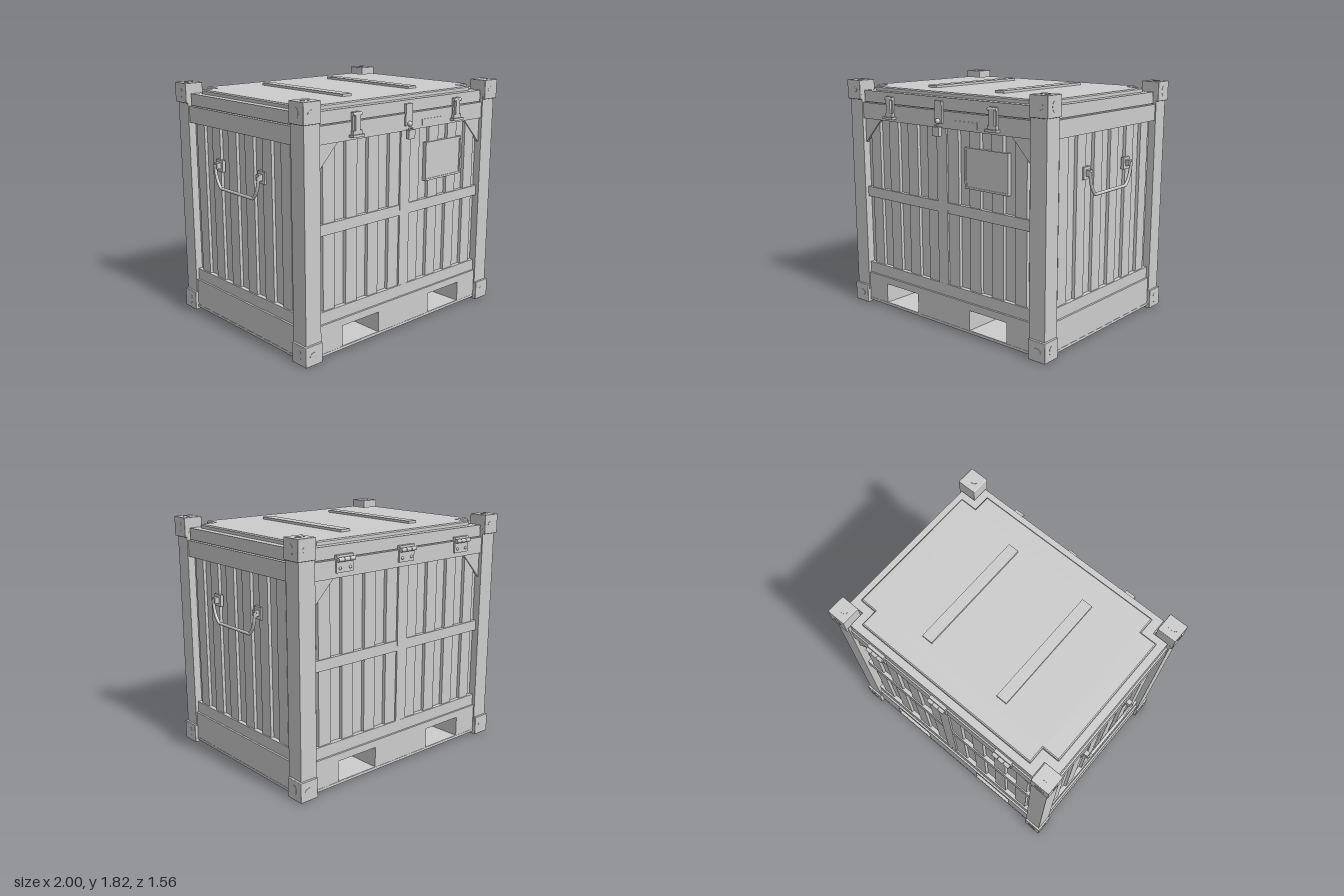
import * as THREE from 'three';
import { RoundedBoxGeometry } from 'three/addons/geometries/RoundedBoxGeometry.js';

const mat = new THREE.MeshStandardMaterial({ color: 0xcccccc, flatShading: true, side: THREE.DoubleSide });
const smooth = new THREE.MeshStandardMaterial({ color: 0xcccccc });

function add(parent, name, geo, x = 0, y = 0, z = 0, material = mat) {
  const m = new THREE.Mesh(geo, material);
  m.name = name;
  m.position.set(x, y, z);
  parent.add(m);
  return m;
}

// Box given by its extents
function box(parent, name, x0, x1, y0, y1, z0, z1) {
  return add(parent, name, new THREE.BoxGeometry(x1 - x0, y1 - y0, z1 - z0),
    (x0 + x1) / 2, (y0 + y1) / 2, (z0 + z1) / 2);
}

const poly = pts => new THREE.Shape(pts.map(p => new THREE.Vector2(...p)));
const rect = (x0, x1, y0, y1) => poly([[x0, y0], [x1, y0], [x1, y1], [x0, y1]]);
const extrude = (shape, depth) => new THREE.ExtrudeGeometry(shape, { depth, bevelEnabled: false });

// Steep-sided corrugated sheet standing between y0 and y1, ridges at z = out
function corrugated(parent, half, out, y0, y1, count) {
  const p = 2 * half / count, depth = 0.022, t = 0.006, line = [[-half, depth]];
  for (let i = 0; i < count; i++) {
    const x = -half + i * p;
    line.push([x + 0.23 * p, depth], [x + 0.25 * p, 0], [x + 0.75 * p, 0], [x + 0.77 * p, depth]);
  }
  line.push([half, depth]);
  const inner = line.map(([x, d]) => [x, d + t]).reverse();
  add(parent, 'corrugatedPanel', extrude(poly([...line, ...inner]), y1 - y0).rotateX(-Math.PI / 2), 0, y0, out);
}

// Rails and sheet shared by all four walls; local +z points outward
function wall(parent, name, angle, half, out, count) {
  const g = new THREE.Group();
  g.name = name;
  g.rotation.y = angle;
  parent.add(g);
  corrugated(g, half, out - 0.027, 0.3, 1.56, count);
  box(g, 'topRail', -half, half, 1.525, 1.65, out - 0.06, out);
  box(g, 'bottomRail', -half, half, 0.25, 0.345, out - 0.06, out - 0.015);
  box(g, 'bottomFlange', -half, half, 0.022, 0.042, out - 0.035, out + 0.002);
  return g;
}

// Rectangle with its four corners notched out, laid flat
function notchedSlab(hx, hz, nx, nz, height, bevel) {
  const q = [[hx, nz], [nx, nz], [nx, hz]];
  const r = q.slice().reverse();
  const pts = [...q, ...r.map(([x, y]) => [-x, y]), ...q.map(([x, y]) => [-x, -y]), ...r.map(([x, y]) => [x, -y])];
  const geo = new THREE.ExtrudeGeometry(poly(pts), {
    depth: height - bevel, bevelEnabled: bevel > 0, bevelThickness: bevel, bevelSize: bevel, bevelOffset: -bevel, bevelSegments: 1 });
  return geo.rotateX(-Math.PI / 2);
}

function addHandle(g, out) {
  for (const s of [-1, 1]) {
    box(g, 'handlePlate', s * 0.255 - 0.04, s * 0.255 + 0.04, 1.2, 1.29, out - 0.04, out - 0.015);
    box(g, 'handleClip', s * 0.255 - 0.018, s * 0.255 + 0.018, 1.225, 1.27, out - 0.02, out + 0.018);
  }
  const path = new THREE.CurvePath();
  const v = (x, y) => new THREE.Vector3(x, y, out + 0.016);
  path.add(new THREE.QuadraticBezierCurve3(v(-0.265, 1.26), v(-0.26, 1.14), v(-0.195, 1.087)));
  path.add(new THREE.LineCurve3(v(-0.195, 1.087), v(0.195, 1.087)));
  path.add(new THREE.QuadraticBezierCurve3(v(0.195, 1.087), v(0.26, 1.14), v(0.265, 1.26)));
  add(g, 'handleBar', new THREE.TubeGeometry(path, 60, 0.012, 10), 0, 0, 0, smooth);
}

function addLatch(g, x) {
  box(g, 'latchBase', x - 0.035, x + 0.035, 1.58, 1.715, 0.735, 0.75);
  box(g, 'latchLever', x - 0.022, x + 0.022, 1.59, 1.7, 0.75, 0.768);
  box(g, 'latchFoot', x - 0.055, x + 0.055, 1.545, 1.563, 0.735, 0.778);
  box(g, 'latchCatch', x - 0.04, x + 0.04, 1.563, 1.59, 0.735, 0.765);
  add(g, 'latchPin', new THREE.CylinderGeometry(0.012, 0.012, 0.08, 12), x, 1.7, 0.755, smooth).rotation.z = Math.PI / 2;
}

function addHinge(g, x) {
  box(g, 'hingeLeaf', x - 0.075, x + 0.075, 1.56, 1.645, 0.735, 0.75);
  box(g, 'hingeTopLeaf', x - 0.075, x + 0.075, 1.65, 1.68, 0.72, 0.752);
  for (const i of [-1, 0, 1])
    add(g, 'hingeBarrel', new THREE.CylinderGeometry(0.015, 0.015, 0.047, 14), x + i * 0.05, 1.65, 0.762, smooth).rotation.z = Math.PI / 2;
  for (const i of [-1, 1])
    add(g, 'hingeScrew', new THREE.SphereGeometry(0.011, 10, 6), x + i * 0.045, 1.59, 0.75, smooth);
}

export function createModel() {
  const model = new THREE.Group();
  model.name = 'storageCrate';
  const body = new THREE.Group();
  body.name = 'body';
  body.position.z = -0.004;
  model.add(body);

  // Corner posts with a block at each end
  for (const sx of [-1, 1]) for (const sz of [-1, 1]) {
    add(body, 'cornerPost', new THREE.BoxGeometry(0.137, 1.6, 0.134), sx * 0.9105, 0.91, sz * 0.681);
    for (const y of [0.075, 1.747]) {
      const block = new THREE.Group();
      block.name = 'cornerBlock';
      block.position.set(sx * 0.92, y, sz * 0.69);
      body.add(block);
      add(block, 'block', new RoundedBoxGeometry(0.15, 0.15, 0.15, 2, 0.005), 0, 0, 0, smooth);
      const slot = () => new THREE.CylinderGeometry(0.03, 0.03, 0.004, 20).scale(1.3, 1, 0.8);
      add(block, 'sideSlot', slot(), sx * 0.075, 0, 0).rotation.z = Math.PI / 2;
      add(block, 'faceSlot', slot(), 0, 0, sz * 0.075).rotation.x = Math.PI / 2;
      if (y > 1) add(block, 'topSlot', slot(), 0, 0.075, 0);
    }
  }

  // Front and back walls with cross bars, gussets and fork openings
  for (const [name, angle] of [['frontWall', 0], ['backWall', Math.PI]]) {
    const g = wall(body, name, angle, 0.842, 0.738, 8);
    box(g, 'uprightBar', -0.05, 0.05, 0.345, 1.525, 0.685, 0.722);
    box(g, 'crossBar', -0.842, 0.842, 0.895, 0.975, 0.685, 0.72);
    for (const s of [-1, 1])
      add(g, 'gusset', extrude(poly([[s * 0.842, 1.525], [s * 0.66, 1.525], [s * 0.842, 1.335]]), 0.02), 0, 0, 0.7);
    const skirt = rect(-0.842, 0.842, 0.04, 0.256);
    for (const s of [-1, 1]) skirt.holes.push(rect(s * 0.453 - 0.18, s * 0.453 + 0.18, 0.045, 0.2));
    add(g, 'forkSkirt', extrude(skirt, 0.025), 0, 0, 0.713);

    if (angle === 0) {
      for (const x of [-0.52, 0.52]) addLatch(g, x);
      // Hasp and padlock
      box(g, 'hasp', -0.035, 0.035, 1.56, 1.72, 0.735, 0.752);
      add(g, 'haspKnob', new THREE.SphereGeometry(0.02, 14, 10), 0, 1.575, 0.757, smooth);
      add(g, 'padlockShackle', new THREE.TorusGeometry(0.02, 0.006, 8, 16, Math.PI), 0, 1.53, 0.767, smooth);
      box(g, 'padlockBody', -0.032, 0.032, 1.468, 1.535, 0.752, 0.782);
      box(g, 'railStrip', 0.15, 0.37, 1.545, 1.59, 0.735, 0.743);
      // Framed blank plate
      box(g, 'plate', 0.235, 0.62, 1.12, 1.395, 0.685, 0.715);
      const frame = rect(0.225, 0.63, 1.11, 1.405);
      frame.holes.push(rect(0.24, 0.615, 1.125, 1.39));
      add(g, 'plateFrame', extrude(frame, 0.035), 0, 0, 0.685);
    } else {
      for (const x of [-0.585, 0, 0.59]) addHinge(g, x);
    }
  }

  // Side walls with plain skirts and carrying handles
  for (const s of [-1, 1]) {
    const g = wall(body, s > 0 ? 'leftWall' : 'rightWall', s * Math.PI / 2, 0.615, 0.97, 6);
    box(g, 'sideSkirt', -0.615, 0.615, 0.03, 0.256, 0.945, 0.97);
    addHandle(g, 0.972);
  }

  // Fork tunnels running from front to back
  for (const s of [-1, 1]) {
    const tube = rect(-0.188, 0.188, 0.035, 0.208);
    tube.holes.push(rect(-0.18, 0.18, 0.043, 0.2));
    add(body, 'forkTunnel', extrude(tube, 1.44), s * 0.453, 0, -0.72);
  }

  // Lid with raised panel and two strips
  const lid = new THREE.Group();
  lid.name = 'lid';
  body.add(lid);
  add(lid, 'lidBase', notchedSlab(0.957, 0.728, 0.832, 0.602, 0.088, 0), 0, 1.656, 0);
  add(lid, 'lidSeal', notchedSlab(0.94, 0.712, 0.832, 0.602, 0.02, 0), 0, 1.642, 0);
  add(lid, 'lidPanel', notchedSlab(0.9, 0.672, 0.765, 0.54, 0.033, 0.008), 0, 1.742, 0);
  for (const x of [-0.343, 0.335]) box(lid, 'lidStrip', x - 0.043, x + 0.043, 1.77, 1.793, -0.467, 0.467);

  return model;
}
